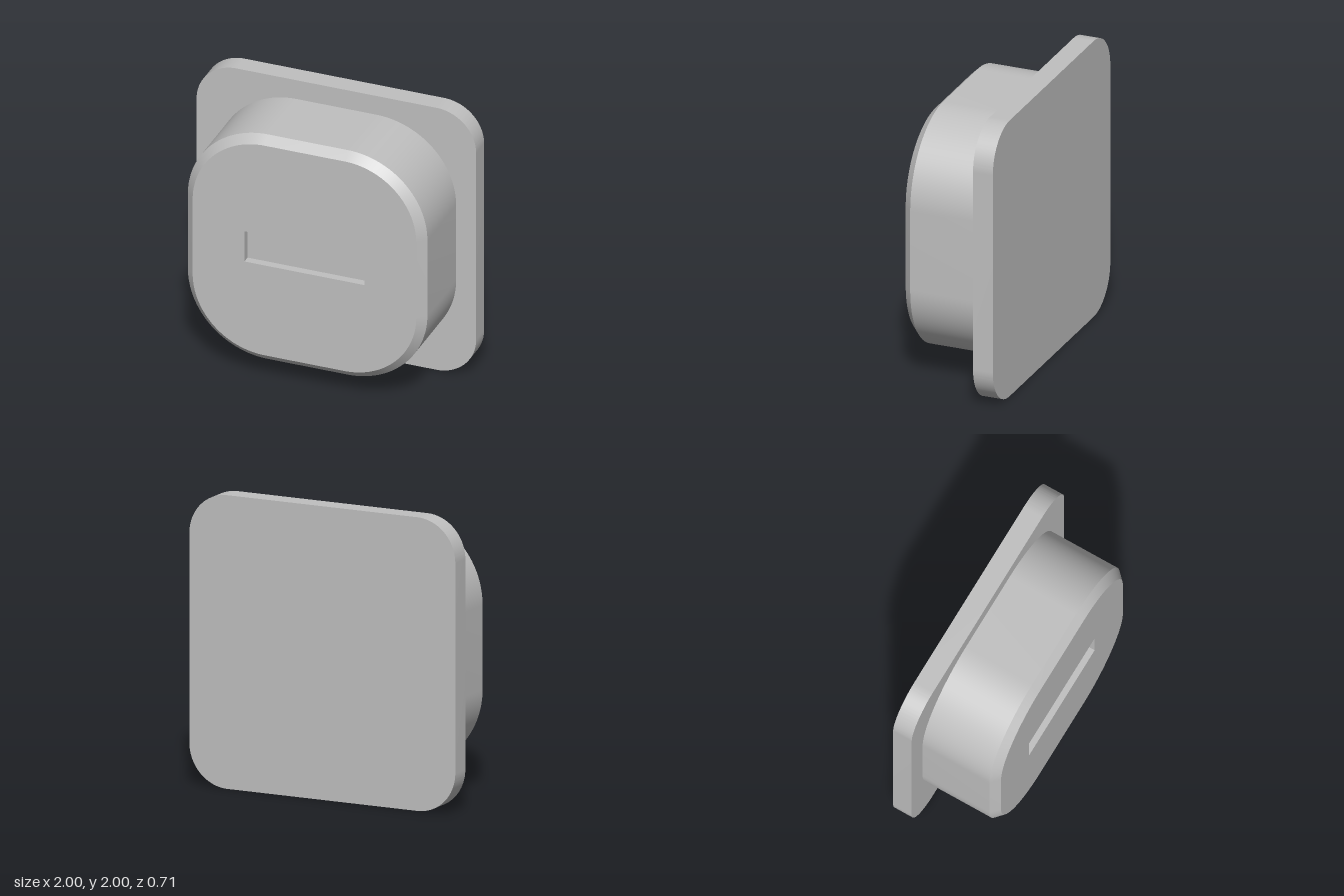
import * as THREE from 'three';
import { toCreasedNormals } from 'three/addons/utils/BufferGeometryUtils.js';

const CY = 1; // height of the shared centre axis

// Square outline with rounded corners, counter-clockwise
function roundedSquare(half, radius) {
  const shape = new THREE.Shape();
  const c = half - radius;
  [[1, 1], [-1, 1], [-1, -1], [1, -1]].forEach(([sx, sy], i) => {
    shape.absarc(sx * c, sy * c, radius, i * Math.PI / 2, (i + 1) * Math.PI / 2, false);
  });
  return shape;
}

// Wall joining two matching outlines at depths z0 and z1
function wall(ringA, z0, ringB, z1) {
  const pos = [];
  const n = ringA.length;
  for (let i = 0; i < n; i++) {
    const j = (i + 1) % n;
    const a = [ringA[i].x, ringA[i].y, z0], b = [ringA[j].x, ringA[j].y, z0];
    const c = [ringB[j].x, ringB[j].y, z1], d = [ringB[i].x, ringB[i].y, z1];
    pos.push(...a, ...b, ...c, ...a, ...c, ...d);
  }
  const geometry = new THREE.BufferGeometry();
  geometry.setAttribute('position', new THREE.Float32BufferAttribute(pos, 3));
  return toCreasedNormals(geometry, 0.5);
}

export function createModel() {
  const model = new THREE.Group();
  model.name = 'squarePlug';
  const grey = new THREE.MeshStandardMaterial({ color: 0xc0c0c0 });
  grey.name = 'light grey';

  const add = (name, geometry, z = 0) => {
    const mesh = new THREE.Mesh(geometry, grey);
    mesh.name = name;
    mesh.position.set(0, CY, z);
    model.add(mesh);
  };

  const back = -0.357, step = -0.214, shoulder = 0.3, front = 0.357, slotFloor = 0.3;

  // Back flange
  add('flange', toCreasedNormals(new THREE.ExtrudeGeometry(roundedSquare(1, 0.286), {
    depth: step - back, bevelEnabled: false, curveSegments: 24,
  }), 0.5), back);

  // Plug body and its chamfered front edge
  const outer = roundedSquare(0.857, 0.571).getPoints(16);
  const inner = roundedSquare(0.8, 0.514);
  const innerRing = inner.getPoints(16);
  add('bodySide', wall(outer, step, outer, shoulder));
  add('bodyChamfer', wall(outer, shoulder, innerRing, front));

  // Front face with a slot cut through it
  const slot = [[-0.43, -0.114], [-0.43, 0.117], [0.43, 0.117], [0.43, -0.114]]
    .map(([x, y]) => new THREE.Vector2(x, y));
  inner.holes.push(new THREE.Path(slot));
  add('frontFace', new THREE.ShapeGeometry(inner, 16), front);

  // Slot recess: clockwise walls face inward
  add('slotWalls', wall(slot, slotFloor, slot, front));
  add('slotFloor', new THREE.ShapeGeometry(new THREE.Shape(slot)), slotFloor);

  return model;
}
